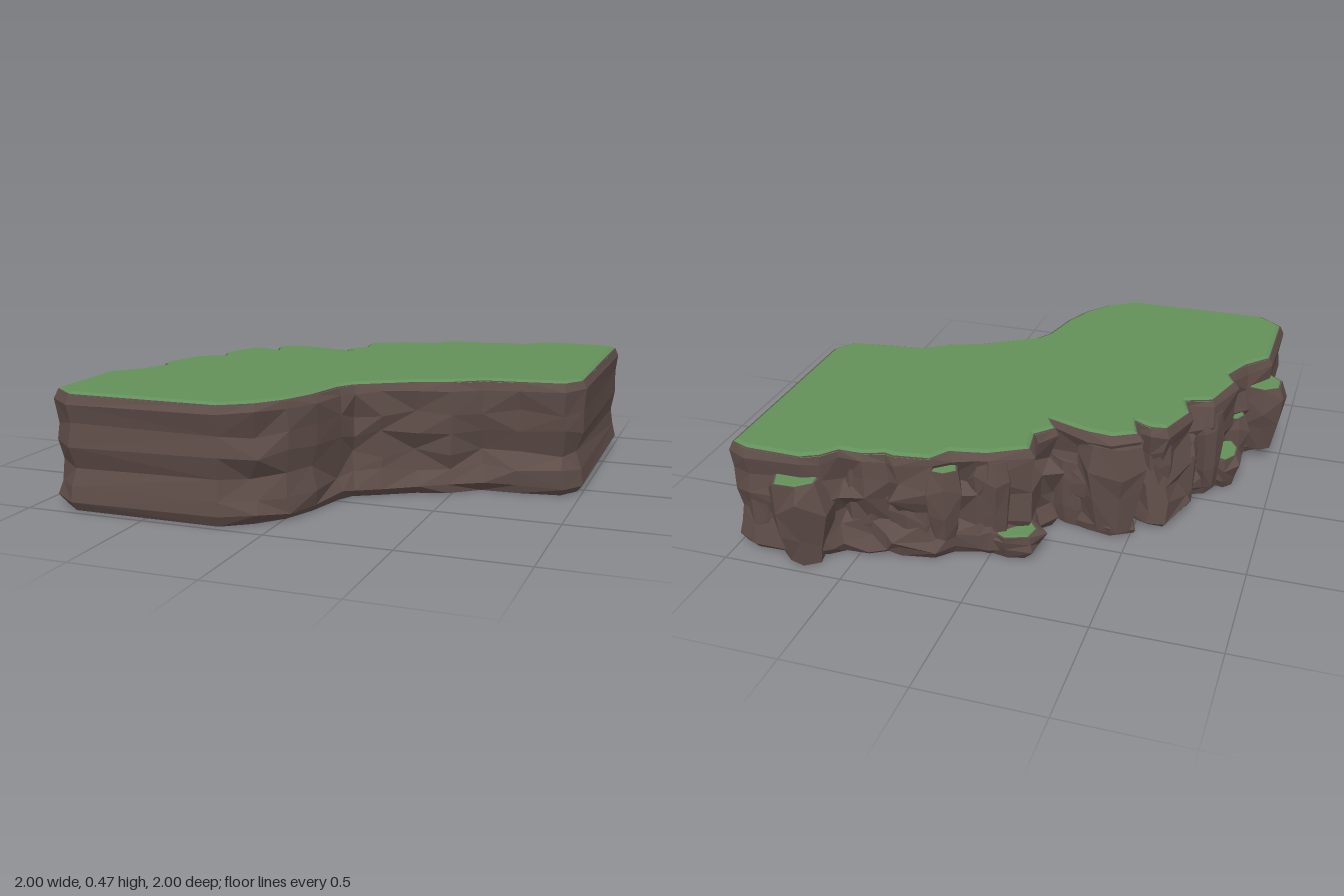
import * as THREE from 'three';

const rockMat = new THREE.MeshStandardMaterial({ color: 0x5e4d48, flatShading: true });
const grassMat = new THREE.MeshStandardMaterial({ color: 0x629059, flatShading: true });

let seed = 7;
const rand = () => {
  seed = (seed * 16807) % 2147483647;
  return seed / 2147483647 * 2 - 1;
};

// Plan of the plateau as [x, z], counter-clockwise seen from above
const FRONT = [
  [-0.91, 0.89], [-0.81, 0.972], [-0.19, 0.972], [-0.075, 0.895], [0.005, 0.79], [0.06, 0.66],
  [0.1, 0.485], [0.14, 0.42], [0.235, 0.36], [0.365, 0.28], [0.485, 0.238], [0.605, 0.158],
  [0.75, 0.14], [0.925, 0.118], [0.982, 0.03], [0.982, -0.865],
];
const BACK = [
  [0.91, -0.895], [0.68, -0.9], [0.61, -0.865], [0.56, -0.805], [0.46, -0.805], [0.38, -0.775],
  [0.34, -0.785], [0.2, -0.765], [0.15, -0.69], [0.04, -0.67], [0, -0.66], [-0.14, -0.58],
  [-0.12, -0.46], [-0.185, -0.39], [-0.14, -0.32], [-0.32, -0.38], [-0.42, -0.39], [-0.51, -0.34],
  [-0.475, -0.235], [-0.55, -0.27], [-0.61, -0.26], [-0.67, -0.1], [-0.635, 0], [-0.74, 0.04],
  [-0.8, 0.23], [-0.765, 0.3], [-0.82, 0.42], [-0.91, 0.52],
];
const PLAN = [...FRONT, ...BACK];

// Outward direction at every corner of the plan
const NORMALS = PLAN.map((p, i) => {
  const a = PLAN[(i + PLAN.length - 1) % PLAN.length], b = PLAN[(i + 1) % PLAN.length];
  const unit = (u, v) => new THREE.Vector2(u[1] - v[1], v[0] - u[0]).normalize();
  return unit(a, p).add(unit(p, b)).normalize();
});

// Craggy back between its two end corners
const isCrag = i => i > FRONT.length && i < PLAN.length - 1;
// Roughness: smooth ends, rippled front curve, craggy back
const roughness = i => (isCrag(i) ? 0.036 : i > 2 && i < 14 ? 0.022 : 0.007);

const planRing = (y, offset) => PLAN.map(([x, z], i) =>
  new THREE.Vector3(x + NORMALS[i].x * offset, y, z + NORMALS[i].y * offset));

// Skin a stack of rings (bottom to top), with optional bottom cap and a top cap
function loft(name, rings, material, closedBelow = true) {
  const pos = [];
  const tri = (a, b, c) => pos.push(...a.toArray(), ...b.toArray(), ...c.toArray());
  for (let r = 0; r < rings.length - 1; r++) {
    const lo = rings[r], hi = rings[r + 1];
    lo.forEach((a, i) => {
      const j = (i + 1) % lo.length;
      if (rand() > 0) { tri(a, lo[j], hi[j]); tri(a, hi[j], hi[i]); }
      else { tri(a, lo[j], hi[i]); tri(lo[j], hi[j], hi[i]); }
    });
  }
  const cap = (ring, up) => {
    const flat = ring.map(p => new THREE.Vector2(p.x, -p.z));
    for (const [a, b, c] of THREE.ShapeUtils.triangulateShape(flat, [])) {
      if (up) tri(ring[a], ring[b], ring[c]);
      else tri(ring[a], ring[c], ring[b]);
    }
  };
  if (closedBelow) cap(rings[0], false);
  cap(rings[rings.length - 1], true);
  const geo = new THREE.BufferGeometry();
  geo.setAttribute('position', new THREE.Float32BufferAttribute(pos, 3));
  geo.computeVertexNormals();
  const mesh = new THREE.Mesh(geo, material);
  mesh.name = name;
  return mesh;
}

// Cliff: layered strata, each [height, offset, share of roughness]
function cliff() {
  const strata = [
    [0, -0.008, 0.4], [0.035, 0.018, 0.6], [0.1, 0.006, 1], [0.17, -0.012, 1], [0.26, 0.014, 1],
    [0.34, 0.006, 1], [0.43, 0.02, 0.4], [0.462, 0.002, 0],
  ];
  const rings = strata.map(([y, offset, share]) => planRing(y, offset).map((p, i) => {
    const amp = roughness(i) * share;
    const out = rand() * amp;
    const along = rand() * amp * 0.5;
    const n = NORMALS[i];
    p.x += n.x * out - n.y * along;
    p.z += n.y * out + n.x * along;
    if (y > 0) p.y += rand() * share * (isCrag(i) ? 0.03 : 0.016);
    return p;
  }));
  return loft('cliff', rings, rockMat);
}

// Grass sheet with a thin sloping rim
const grass = () => loft('grassTop', [planRing(0.458, 0.004), planRing(0.471, -0.018)],
  grassMat, false);

// Rough boulder against the back wall, narrower below, optionally with a grassy top
function outcrop([x, z, rx, rz, y0, y1, grassy]) {
  const group = new THREE.Group();
  group.name = 'outcrop';
  const sides = 7;
  const turn = rand() * Math.PI;
  const h = y1 - y0;
  const rings = [[0, 0.62], [0.35, 0.88], [0.72, 1], [1, 0.82]].map(([t, s]) =>
    Array.from({ length: sides }, (_, i) => {
      const a = turn - i / sides * Math.PI * 2;
      const k = s * (1 + rand() * 0.14);
      const lift = t > 0 && t < 1 ? rand() * h * 0.13 : 0;
      return new THREE.Vector3(x + Math.cos(a) * rx * k,
        y0 + h * t + lift, z + Math.sin(a) * rz * k);
    }));
  group.add(loft('boulder', rings, rockMat));
  if (grassy) {
    const inset = (s, y) => rings[3].map(p =>
      new THREE.Vector3(x + (p.x - x) * s, y, z + (p.z - z) * s));
    group.add(loft('ledgeGrass', [inset(0.9, y1), inset(0.85, y1 + 0.005)], grassMat, false));
  }
  return group;
}

export function createModel() {
  const model = new THREE.Group();
  model.name = 'grassyCliff';
  model.add(cliff(), grass());
  // x, z, half width, half depth, base, top, grassy
  const outcrops = [
    [0.7, -0.89, 0.13, 0.11, 0, 0.365, true],
    [0.88, -0.86, 0.08, 0.05, 0.03, 0.33, false],
    [0.48, -0.76, 0.1, 0.055, 0.05, 0.38, false],
    [0.17, -0.72, 0.08, 0.08, 0.1, 0.41, true],
    [0.3, -0.73, 0.11, 0.055, 0, 0.24, false],
    [-0.07, -0.61, 0.14, 0.1, 0, 0.11, true],
    [0, -0.64, 0.1, 0.06, 0.1, 0.43, false],
    [-0.41, -0.35, 0.15, 0.085, 0.02, 0.42, false],
    [-0.25, -0.33, 0.09, 0.05, 0, 0.3, false],
    [-0.58, -0.2, 0.06, 0.08, 0.1, 0.4, false],
    [-0.65, -0.05, 0.06, 0.09, 0, 0.32, false],
    [-0.73, 0.06, 0.06, 0.07, 0.05, 0.4, false],
    [-0.79, 0.19, 0.075, 0.11, 0, 0.15, true],
    [-0.79, 0.35, 0.075, 0.07, 0.02, 0.25, true],
    [-0.9, 0.48, 0.1, 0.1, 0.05, 0.36, true],
  ];
  outcrops.forEach(o => model.add(outcrop(o)));
  return model;
}
